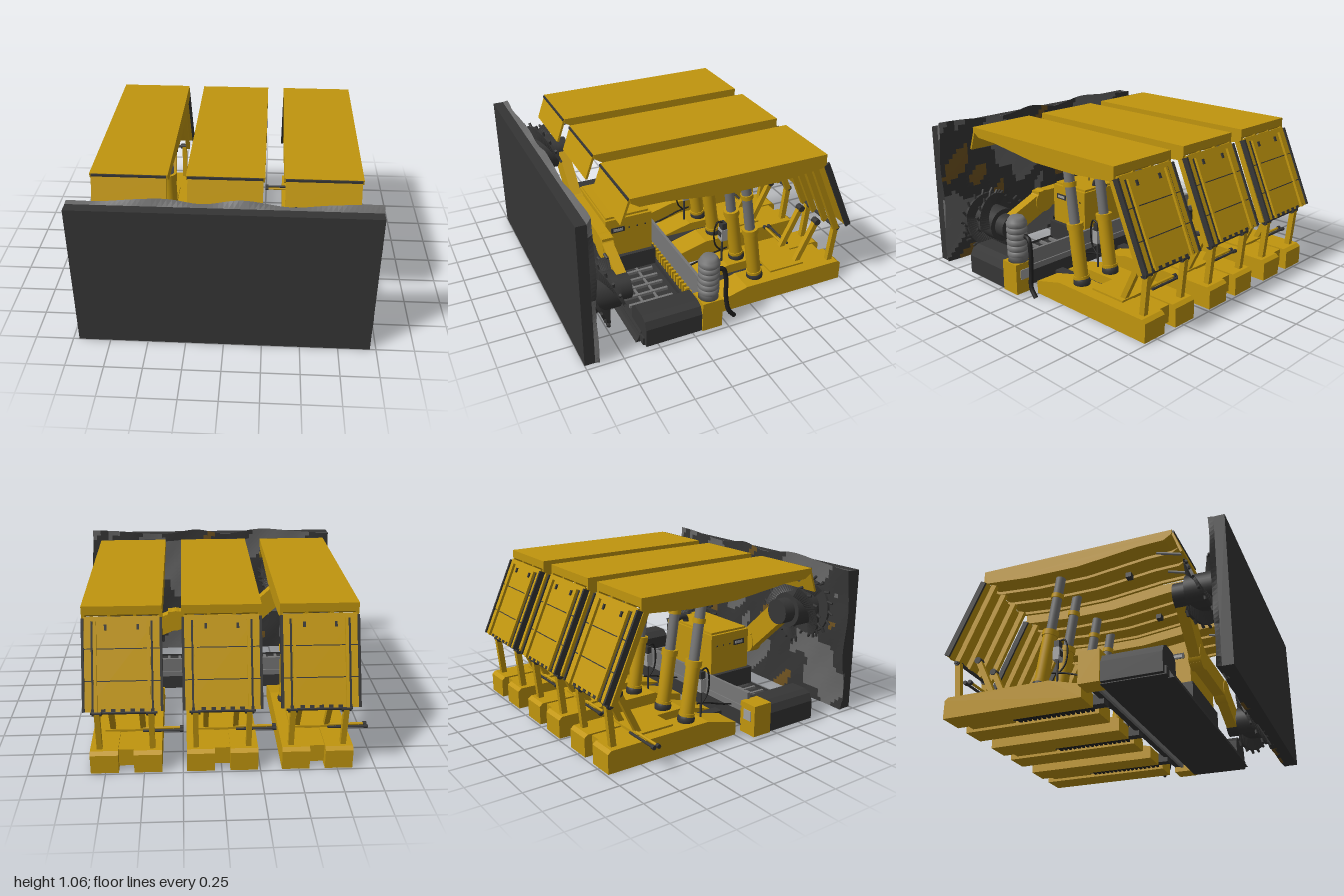
import * as THREE from 'three';

const mat = (name, color, side = THREE.FrontSide) => {
  const m = new THREE.MeshStandardMaterial({ color, side });
  m.name = name;
  return m;
};
const V = (x, y, z) => new THREE.Vector3(x, y, z);

export function createModel() {
  const yellow = mat('yellow paint', 0xc0950e);
  const dark = mat('dark steel', 0x363636, THREE.DoubleSide);
  const black = mat('black rubber', 0x1f1f1f);
  const grey = mat('grey steel', 0x767676);
  const light = mat('light grey', 0xa0a0a0);
  const coal = mat('coal', 0x353535);
  const rock = mat('grey rock', 0x666666);
  const ochre = mat('ochre rock', 0x6e5220);

  const root = new THREE.Group();
  root.name = 'longwallMiningSystem';

  // ---- helpers ----
  const add = (parent, name, geo, m, x = 0, y = 0, z = 0) => {
    const mesh = new THREE.Mesh(geo, m);
    mesh.name = name;
    mesh.position.set(x, y, z);
    parent.add(mesh);
    return mesh;
  };
  // box given by its limits
  const box = (p, name, m, x0, x1, y0, y1, z0, z1) =>
    add(p, name, new THREE.BoxGeometry(x1 - x0, y1 - y0, z1 - z0), m, (x0 + x1) / 2, (y0 + y1) / 2, (z0 + z1) / 2);
  // any upright geometry of length |ab| laid from a to b
  const span = (p, name, geo, m, a, b) => {
    const mesh = add(p, name, geo, m);
    mesh.position.copy(a).lerp(b, 0.5);
    mesh.quaternion.setFromUnitVectors(V(0, 1, 0), b.clone().sub(a).normalize());
    return mesh;
  };
  const rod = (p, name, m, r, a, b, sides = 20) => span(p, name, new THREE.CylinderGeometry(r, r, a.distanceTo(b), sides), m, a, b);
  const beam = (p, name, m, w, d, a, b) => span(p, name, new THREE.BoxGeometry(w, a.distanceTo(b), d), m, a, b);
  // [z, y] outline extruded across x
  const profile = (pts, w) => {
    const s = new THREE.Shape(pts.map(([z, y]) => new THREE.Vector2(z, y)));
    return new THREE.ExtrudeGeometry(s, { depth: w, bevelEnabled: false }).rotateY(-Math.PI / 2).translate(w / 2, 0, 0);
  };
  const hose = (p, name, m, r, pts) =>
    add(p, name, new THREE.TubeGeometry(new THREE.CatmullRomCurve3(pts.map(a => V(...a))), 30, r, 8), m);

  // ---- coal face: smooth slab with a rough, patchy rear sheet ----
  const face = new THREE.Group();
  face.name = 'coalFace';
  root.add(face);
  box(face, 'faceSlab', coal, -0.96, 0.96, 0, 1.02, 0.915, 1);
  const noise = (x, y) => Math.sin(x * 7.3 + 1.4 * Math.sin(y * 6)) + Math.sin(y * 9.1 + 1.7 * Math.sin(x * 5 + 1)) + 0.5 * Math.sin(x * 21 + y * 17);
  const NX = 64, NY = 36;
  const point = (i, j) => {
    const edge = i === 0 || i === NX || j === 0 || j === NY;
    const u = THREE.MathUtils.clamp((i - 1) / (NX - 2), 0, 1), v = THREE.MathUtils.clamp((j - 1) / (NY - 2), 0, 1);
    const x = (u * 2 - 1) * 0.96, y = v * 1.02;
    if (edge) return [x, y, 0.93];
    const grow = 0.01 * (1 + Math.sin(y * 11));
    return [x + (u * 2 - 1) ** 9 * grow, y + v ** 9 * (0.024 + 0.018 * Math.sin(x * 9 + Math.sin(x * 4))), 0.9 + 0.004 * noise(x, y)];
  };
  const patches = [[], [], []];
  for (let i = 0; i < NX; i++) for (let j = 0; j < NY; j++) {
    const [a, b, c, d] = [point(i, j), point(i + 1, j), point(i + 1, j + 1), point(i, j + 1)];
    const n = noise(a[0], a[1]);
    const k = j === NY - 1 ? 1 : n > 0.45 ? 1 : n < -1.55 ? 2 : 0;
    patches[k].push(...a, ...d, ...b, ...b, ...d, ...c);
  }
  [coal, rock, ochre].forEach((m, k) => {
    const g = new THREE.BufferGeometry();
    g.setAttribute('position', new THREE.Float32BufferAttribute(patches[k], 3));
    g.computeVertexNormals();
    add(face, 'roughPatches', g, m);
  });

  // ---- hydraulic roof supports ----
  const roofLine = [[0.63, 1.062], [0.625, 1.03], [0.57, 0.995], [0.4, 0.99], [-0.03, 0.94], [-0.4, 0.94], [-0.72, 0.965], [-0.75, 0.985], [-0.75, 1.062]];
  const roofCore = roofLine.map(([z, y]) => [z, y < 1.02 ? y + 0.02 : y]);
  const pontoonLine = [[0.01, 0], [0.01, 0.09], [-0.22, 0.15], [-0.96, 0.15], [-0.985, 0.13], [-0.985, 0]];
  const support = cx => {
    const s = new THREE.Group();
    s.name = 'roofSupport';
    s.position.x = cx;
    root.add(s);
    add(s, 'canopy', profile(roofCore, 0.47), yellow);
    for (const x of [-0.24, -0.08, 0.08, 0.24]) add(s, 'canopyRib', profile(roofLine, 0.02), yellow, x);
    // hinged front flap and its ram
    beam(s, 'frontFlap', yellow, 0.48, 0.015, V(0, 1.055, 0.625), V(0, 0.89, 0.685));
    box(s, 'flapHinge', dark, -0.24, 0.24, 1.045, 1.06, 0.628, 0.64);
    for (const x of [-0.12, 0.12]) rod(s, 'flapRam', grey, 0.009, V(x, 0.95, 0.65), V(x, 1, 0.48));
    box(s, 'canopyLamp', dark, -0.025, 0.025, 0.93, 0.965, 0.22, 0.26);
    // rear shield
    const shield = new THREE.Group();
    shield.name = 'rearShield';
    shield.position.set(0, 0.995, -0.752);
    shield.rotation.x = 0.425;
    s.add(shield);
    const L = 0.59;
    box(shield, 'shieldPlate', yellow, -0.235, 0.235, -L, 0, -0.012, 0.012);
    for (const x of [-1, 1]) {
      box(shield, 'shieldSidePlate', dark, x * 0.242 - 0.008, x * 0.242 + 0.008, -L, -0.01, -0.022, 0.018);
      box(shield, 'shieldRail', yellow, x * 0.165 - 0.009, x * 0.165 + 0.009, -L, -0.03, -0.03, -0.01);
      box(shield, 'shieldGroove', dark, x * 0.185 - 0.006, x * 0.185 + 0.006, -L, -0.03, -0.016, -0.01);
      box(shield, 'liftingEye', dark, x * 0.1 - 0.008, x * 0.1 + 0.008, -0.085, -0.05, -0.022, -0.01);
    }
    for (const y of [-0.2, -0.4]) box(shield, 'shieldSeam', dark, -0.235, 0.235, y - 0.003, y + 0.003, -0.015, -0.01);
    for (let i = -3; i <= 3; i++) box(shield, 'shieldTooth', dark, i * 0.06 - 0.014, i * 0.06 + 0.014, -L, -L + 0.018, -0.017, -0.01);
    for (const x of [-0.2, -0.07, 0.07, 0.2]) beam(s, 'shieldArm', yellow, 0.03, 0.04, V(x, 0.965, -0.69), V(x, 0.42, -0.93));

    for (const x of [-1, 1]) {
      // twin pontoons, legs and linkage
      add(s, 'pontoon', profile(pontoonLine, 0.18), yellow, x * 0.14);
      const foot = V(x * 0.13, 0.16, -0.33), dir = V(0, 0.78, 0.115);
      const at = t => foot.clone().addScaledVector(dir, t);
      add(s, 'legSocket', new THREE.SphereGeometry(0.058, 20, 12), dark, x * 0.13, 0.165, -0.33);
      rod(s, 'legCylinder', yellow, 0.047, at(0.02), at(0.5), 28);
      rod(s, 'legFootBand', yellow, 0.053, at(0.02), at(0.06), 28);
      rod(s, 'legTopBand', yellow, 0.055, at(0.46), at(0.51), 28);
      rod(s, 'legPiston', grey, 0.034, at(0.5), at(1.02), 28);
      rod(s, 'legCollar', yellow, 0.042, at(0.82), at(0.86), 28);
      beam(s, 'rearLink', yellow, 0.035, 0.04, V(x * 0.17, 0.12, -0.915), V(x * 0.17, 0.42, -0.945));
      beam(s, 'frontLink', yellow, 0.035, 0.038, V(x * 0.1, 0.14, -0.68), V(x * 0.1, 0.44, -0.825));
      rod(s, 'rearPivot', dark, 0.02, V(x * 0.14, 0.42, -0.945), V(x * 0.2, 0.42, -0.945));
      rod(s, 'frontPivot', dark, 0.024, V(x * 0.075, 0.45, -0.83), V(x * 0.125, 0.45, -0.83));
    }
    rod(s, 'linkBar', dark, 0.012, V(-0.21, 0.42, -0.94), V(0.21, 0.42, -0.94));
    box(s, 'baseBridge', yellow, -0.06, 0.06, 0.02, 0.14, -0.93, -0.6);
    box(s, 'baseCover', yellow, -0.15, 0.15, 0.145, 0.163, -0.72, -0.45);
    // pushing ram between the pontoons
    box(s, 'pushRam', dark, -0.035, 0.035, 0.025, 0.095, -0.6, 0.08);
    for (let i = 0; i < 16; i++) box(s, 'ramTooth', black, -0.042, 0.042, 0.012, 0.03, -0.56 + i * 0.035, -0.542 + i * 0.035);
    // side jacks
    [[-0.71, yellow], [-0.745, dark]].forEach(([z, m]) => {
      rod(s, 'sideJack', m, 0.009, V(-0.35, 0.165, z), V(-0.1, 0.165, z), 12);
      rod(s, 'sideJackTip', dark, 0.014, V(-0.37, 0.165, z), V(-0.345, 0.165, z), 12);
    });
    // valve box and hoses
    box(s, 'valveBox', light, -0.16, -0.1, 0.33, 0.42, -0.235, -0.19);
    box(s, 'valveTop', dark, -0.155, -0.105, 0.42, 0.47, -0.23, -0.195);
    box(s, 'valvePanel', dark, -0.15, -0.11, 0.36, 0.4, -0.191, -0.186);
    rod(s, 'valvePost', dark, 0.008, V(-0.13, 0.14, -0.21), V(-0.13, 0.34, -0.21));
    hose(s, 'valveHose', black, 0.006, [[-0.13, 0.47, -0.21], [-0.13, 0.48, -0.17], [-0.13, 0.42, -0.145], [-0.13, 0.3, -0.155], [-0.13, 0.24, -0.2]]);
    hose(s, 'supplyHose', black, 0.006, [[-0.13, 0.25, -0.25], [-0.13, 0.235, -0.16], [-0.13, 0.195, -0.03], [-0.13, 0.17, 0.08]]);
  };
  [-0.62, -0.005, 0.615].forEach(support);

  // ---- armoured conveyor ----
  const conveyor = new THREE.Group();
  conveyor.name = 'conveyor';
  root.add(conveyor);
  box(conveyor, 'pan', dark, -0.95, 0.95, 0.015, 0.07, 0.18, 0.6);
  add(conveyor, 'loadingRamp', profile([[0.59, 0.01], [0.59, 0.09], [0.61, 0.04], [0.63, 0.01]], 1.8), dark);
  box(conveyor, 'spillPlate', grey, -0.86, 0.86, 0.05, 0.28, 0.1, 0.12);
  box(conveyor, 'cableTrough', dark, -0.86, 0.86, 0.06, 0.16, 0.05, 0.1);
  box(conveyor, 'cableTroughLip', grey, -0.86, 0.86, 0.16, 0.2, 0.05, 0.06);
  box(conveyor, 'trackRail', dark, -0.86, 0.86, 0.05, 0.11, 0.15, 0.2);
  for (let i = 0; i < 40; i++) box(conveyor, 'trackTooth', yellow, -0.84 + i * 0.0425, -0.82 + i * 0.0425, 0.1, 0.17, 0.155, 0.185);
  for (let i = 0; i < 17; i++) box(conveyor, 'scraper', grey, -0.7 + i * 0.0875, -0.68 + i * 0.0875, 0.068, 0.09, 0.24, 0.56);
  for (const z of [0.34, 0.45]) box(conveyor, 'chain', grey, -0.73, 0.73, 0.068, 0.083, z, z + 0.014);
  for (const s of [-1, 1]) {
    // end drives with chamfered housings
    const half = new THREE.Shape([[0.74, 0.02], [0.98, 0.02], [0.98, 0.15], [0.955, 0.2], [0.91, 0.22], [0.79, 0.22], [0.74, 0.18]].map(([x, y]) => new THREE.Vector2(s * x, y)));
    add(conveyor, 'driveHousing', new THREE.ExtrudeGeometry(half, { depth: 0.395, bevelEnabled: false }), dark, 0, 0, 0.193);
    box(conveyor, 'gearbox', yellow, s * 0.92 - 0.07, s * 0.92 + 0.07, 0.02, 0.235, 0.05, 0.193);
    box(conveyor, 'gearboxPanel', light, s * 0.92 - 0.035, s * 0.92 + 0.035, 0.12, 0.19, 0.045, 0.052);
  }
  // ribbed motor with its hose
  const ribs = [[0, 0.235], [0.068, 0.235]];
  for (let i = 0; i < 6; i++) ribs.push([0.062, 0.27 + i * 0.042], [0.071, 0.278 + i * 0.042], [0.071, 0.3 + i * 0.042], [0.062, 0.308 + i * 0.042]);
  ribs.push([0.06, 0.53], [0.045, 0.55], [0, 0.55]);
  add(conveyor, 'ribbedMotor', new THREE.LatheGeometry(ribs.map(p => new THREE.Vector2(...p)), 32), grey, 0.915, 0, 0.12);
  hose(conveyor, 'motorHose', black, 0.016, [[0.9, 0.42, 0.06], [0.905, 0.41, 0.01], [0.91, 0.34, -0.01], [0.915, 0.18, -0.015], [0.93, 0.08, -0.03], [0.93, 0.02, -0.075]]);

  // ---- shearer ----
  const shearer = new THREE.Group();
  shearer.name = 'shearer';
  root.add(shearer);
  box(shearer, 'body', yellow, -0.33, 0.21, 0.22, 0.515, 0.215, 0.56);
  box(shearer, 'bodyLid', yellow, -0.31, 0.19, 0.515, 0.53, 0.23, 0.55);
  box(shearer, 'bodySkid', dark, -0.36, 0.24, 0.09, 0.22, 0.2, 0.58);
  box(shearer, 'frontBeam', yellow, -0.36, 0.36, 0.35, 0.48, 0.56, 0.64);
  for (const [x, s] of [[-0.33, -1], [0.21, 1]]) {
    box(shearer, 'endPanel', dark, x - 0.004, x + 0.004, 0.41, 0.45, 0.42, 0.52);
    box(shearer, 'endPanelFace', light, x + s * 0.004 - 0.002, x + s * 0.004 + 0.002, 0.42, 0.44, 0.435, 0.505);
    for (const z of [0.26, 0.32, 0.38]) box(shearer, 'bolt', dark, x - 0.004, x + 0.004, 0.425, 0.435, z, z + 0.01);
  }
  hose(shearer, 'coolingElbow', dark, 0.022, [[0.05, 0.52, 0.27], [0.05, 0.56, 0.26], [0.05, 0.57, 0.21], [0.05, 0.54, 0.16]]);
  rod(shearer, 'antenna', dark, 0.004, V(0, 0.52, 0.39), V(0, 0.56, 0.39), 8);

  // cutting drum: hub, three spiral vanes, toothed ring
  const vane = phase => {
    const pos = [], idx = [], n = 28;
    for (let i = 0; i <= n; i++) {
      const a = phase + (i / n) * 2.4, z = -0.1 + (i / n) * 0.19;
      for (const [r, dz] of [[0.1, -0.01], [0.212, -0.01], [0.212, 0.01], [0.1, 0.01]]) pos.push(r * Math.cos(a), r * Math.sin(a), z + dz);
      if (i < n) for (let k = 0; k < 4; k++) {
        const p = i * 4 + k, q = i * 4 + (k + 1) % 4;
        idx.push(p, q, p + 4, q, q + 4, p + 4);
      }
    }
    const g = new THREE.BufferGeometry();
    g.setAttribute('position', new THREE.Float32BufferAttribute(pos, 3));
    g.setIndex(idx);
    const flat = g.toNonIndexed();
    flat.computeVertexNormals();
    return flat;
  };
  const drum = (x, y) => {
    const d = new THREE.Group();
    d.name = 'cuttingDrum';
    d.position.set(x, y, 0.765);
    shearer.add(d);
    rod(d, 'hub', dark, 0.125, V(0, 0, -0.11), V(0, 0, 0.11), 36);
    rod(d, 'endRing', dark, 0.205, V(0, 0, 0.095), V(0, 0, 0.115), 36);
    const pick = (a, r, z) => rod(d, 'pick', dark, 0.01, V(r * Math.cos(a), r * Math.sin(a), z), V((r + 0.035) * Math.cos(a + 0.1), (r + 0.035) * Math.sin(a + 0.1), z + 0.008), 6);
    for (let k = 0; k < 3; k++) {
      const phase = k * Math.PI * 2 / 3;
      add(d, 'spiralVane', vane(phase), dark);
      for (let i = 0; i < 7; i++) pick(phase + i / 7 * 2.4, 0.2, -0.1 + i / 7 * 0.19);
    }
    for (let i = 0; i < 18; i++) pick(i * Math.PI / 9, 0.2, 0.105);
  };
  // one arm raised, the other lowered
  for (const [x0, y0, x1, y1, m] of [[-0.3, 0.41, -0.62, 0.71, yellow], [0.3, 0.4, 0.62, 0.265, yellow]]) {
    beam(shearer, 'rangingArm', m, 0.15, 0.075, V(x0, y0, 0.605), V(x1, y1, 0.605));
    rod(shearer, 'armPivot', yellow, 0.085, V(x0, y0, 0.56), V(x0, y0, 0.645), 28);
    rod(shearer, 'armHead', dark, 0.09, V(x1, y1, 0.565), V(x1, y1, 0.67), 28);
    drum(x1, y1);
  }
  return root;
}
